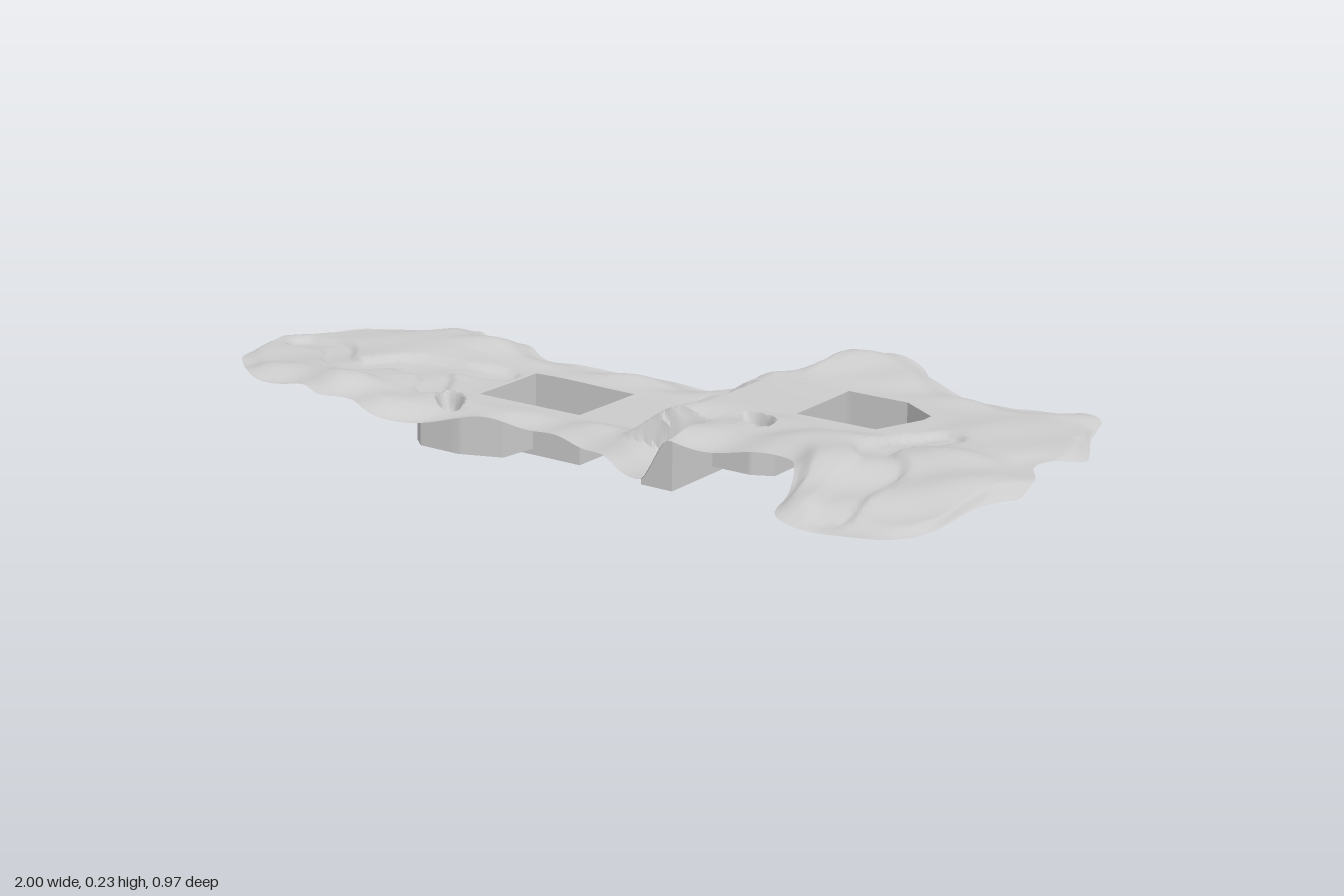
import * as THREE from 'three';
import { toCreasedNormals } from 'three/addons/utils/BufferGeometryUtils.js';

const material = new THREE.MeshStandardMaterial({ color: 0xcccccc, side: THREE.DoubleSide });
const { smoothstep, lerp } = THREE.MathUtils;

// Outline of the ground: back and front edge as z over x
const outline = points => new THREE.SplineCurve(points.map(p => new THREE.Vector2(...p))).getPoints(200);
const BACK = outline([[-1, -.2], [-.97, -.25], [-.87, -.34], [-.79, -.44], [-.68, -.45], [-.6, -.41], [-.5, -.41],
  [-.4, -.36], [-.3, -.345], [-.2, -.36], [-.12, -.395], [.05, -.4], [.12, -.42], [.23, -.48], [.45, -.48],
  [.53, -.41], [.6, -.38], [.72, -.35], [.8, -.365], [.93, -.32], [.95, -.24], [1, -.13]]);
const FRONT = outline([[-1, -.12], [-.97, 0], [-.9, .07], [-.8, .14], [-.68, .13], [-.6, .155], [-.53, .14],
  [-.43, .175], [-.3, .12], [-.2, .085], [-.05, .09], [.1, .135], [.2, .185], [.27, .215], [.34, .215], [.45, .21],
  [.58, .215], [.64, .28], [.68, .36], [.73, .475], [.88, .475], [.93, .42], [.95, .34], [.96, .25], [1, .15]]);
// Winding footpaths, pressed into the ground
const PATHS = [
  [[-.92, -.14], [-.82, -.14], [-.74, -.06], [-.67, -.04], [-.6, -.13], [-.46, -.16], [-.38, -.18]],
  [[-.56, -.1], [-.49, -.09], [-.44, -.02]],
  [[.75, -.05], [.71, 0], [.69, .09], [.76, .18], [.77, .3], [.8, .42]],
].map(p => new THREE.CatmullRomCurve3(p.map(([x, z]) => new THREE.Vector3(x, 0, z))).getPoints(40));
// Swells of the ground: x, z, radius, height
const SWELLS = [[-.66, -.3, .12, .019], [-.25, -.3, .1, .006], [.38, -.39, .1, .018], [.67, .17, .08, .012],
  [.88, .2, .1, .011]];

const PIT_Z = [-.225, -.035];
const PITS = [[-.32, -.06], [.45, .66]];

function edge(list, x) {
  for (let i = 1; i < list.length; i++) {
    const a = list[i - 1], b = list[i];
    if (x <= b.x) return lerp(a.y, b.y, (x - a.x) / (b.x - a.x));
  }
  return list[list.length - 1].y;
}

// Elongated dip, turned in plan: 1 inside, 0 outside
function dip(x, z, cx, cz, a, b, angle) {
  const c = Math.cos(angle), s = Math.sin(angle), dx = x - cx, dz = z - cz;
  return 1 - smoothstep(Math.hypot((dx * c + dz * s) / a, (dz * c - dx * s) / b), .6, 1.2);
}

// Height of the ground
function height(x, z) {
  // rise from the lower to the upper level: cliffs at back and front, mounds, stairs between
  const mound = smoothstep(x, .1, .27);
  let rise;
  if (z < -.19) rise = lerp(mound, smoothstep(x, .25, .338), smoothstep(-z, .24, .38));
  else if (z < -.065) rise = x < .15 ? 0 : Math.min(1, (Math.floor((x - .15) / .03 + 1e-4) + 1) / 5);
  else rise = lerp(mound, smoothstep(x, .265, .335), smoothstep(z, .07, .09));
  // rolling ground, level beside the pits and stairs, drooping at the rim
  const ends = Math.max(smoothstep(-x, .36, .5), smoothstep(x, .67, .8));
  const level = Math.max(smoothstep(Math.abs(z + .13), .1, .19), .4 * ends);
  const roll = .008 * Math.sin(9 * x + 5 * z + 1) + .006 * Math.sin(17 * x - 13 * z) + .004 * Math.sin(23 * z + 31 * x);
  const rim = Math.min(z - edge(BACK, x), edge(FRONT, x) - z);
  let y = .106 + .093 * rise + level * (roll + .008) - .016 * (1 - smoothstep(rim, 0, .08));
  for (const [cx, cz, r, h] of SWELLS) y += h * Math.exp(-((x - cx) ** 2 + (z - cz) ** 2) / (r * r)) * (cx < 0 ? 1 : rise);
  // paths
  let d = 1;
  for (const path of PATHS) for (const p of path) d = Math.min(d, Math.hypot(x - p.x, z - p.z));
  y -= .012 * (1 - smoothstep(d, .025, .045));
  // cave mouths
  y -= .045 * dip(x, z, -.35, .025, .06, .026, .75);
  y -= .04 * dip(x, z, .41, .04, .05, .024, .6);
  y -= .025 * dip(x, z, .24, .075, .08, .016, 0) * rise;
  return y;
}

function meshFrom(name, positions, index, crease) {
  const geometry = new THREE.BufferGeometry();
  geometry.setAttribute('position', new THREE.Float32BufferAttribute(positions, 3));
  geometry.setIndex(index);
  geometry.computeVertexNormals();
  const mesh = new THREE.Mesh(toCreasedNormals(geometry, crease), material);
  mesh.name = name;
  return mesh;
}

// Ground sheet: columns along x, rows in three bands so that pit edges stay straight
function ground() {
  const xs = [...PITS.flat(), .1499, .1501, .1799, .1801, .2099, .2101, .2399, .2401, .2699, .2701];
  for (let i = 0; i <= 200; i++) {
    const x = -1 + i / 100;
    if (!xs.some(s => Math.abs(s - x) < .003)) xs.push(x);
  }
  xs.sort((a, b) => a - b);
  const positions = [], index = [], R = 28, rows = 3 * R;
  xs.forEach(x => {
    const b = edge(BACK, x), f = edge(FRONT, x);
    const cuts = [b, Math.max(b, PIT_Z[0]), Math.min(f, PIT_Z[1]), f];
    for (let j = 0; j <= rows; j++) {
      const k = Math.min(2, Math.floor(j / R));
      const z = lerp(cuts[k], cuts[k + 1], j / R - k);
      const notch = .05 * smoothstep(x, .88, 1) * Math.exp(-(((z + .02) / .07) ** 2));
      positions.push(x - notch, height(x, z), z);
    }
  });
  for (let i = 0; i < xs.length - 1; i++) {
    const mid = (xs[i] + xs[i + 1]) / 2;
    const overPit = PITS.some(([a, b]) => mid > a && mid < b);
    for (let j = 0; j < rows; j++) {
      if (overPit && j >= R && j < 2 * R) continue;
      const a = i * (rows + 1) + j, d = a + rows + 1;
      index.push(a, a + 1, d + 1, a, d + 1, d);
    }
  }
  return meshFrom('ground', positions, index, .6);
}

// Open box below the ground: walls meet the ground above, flat floor below
function pocket(name, corners, floorY) {
  const group = new THREE.Group();
  group.name = name;
  const positions = [], index = [], N = 10;
  corners.forEach(([x0, z0], c) => {
    const [x1, z1] = corners[(c + 1) % corners.length];
    for (let i = 0; i <= N; i++) {
      const x = lerp(x0, x1, i / N), z = lerp(z0, z1, i / N), n = positions.length / 3;
      positions.push(x, Math.max(floorY, height(x, z)), z, x, floorY, z);
      if (i < N) index.push(n, n + 1, n + 3, n, n + 3, n + 2);
    }
  });
  group.add(meshFrom(name + 'Walls', positions, index, .5));
  const floor = new THREE.Mesh(new THREE.ShapeGeometry(
    new THREE.Shape(corners.map(([x, z]) => new THREE.Vector2(x, -z)))), material);
  floor.rotation.x = -Math.PI / 2;
  floor.position.y = floorY;
  floor.name = name + 'Floor';
  group.add(floor);
  return group;
}

// Flat triangle that fills a cut corner of the upper pit
function cornerPatch(name, points) {
  return meshFrom(name, points.flatMap(([x, z]) => [x, height(x, z), z]), [0, 1, 2], .5);
}

export function createModel() {
  const model = new THREE.Group();
  model.name = 'terrain';
  const [b, f] = PIT_Z;
  model.add(
    ground(),
    pocket('lowerPit', [[-.32, b], [-.06, b], [-.06, f], [-.32, f]], 0),
    // the upper pit runs on under the ground, towards the cliff
    pocket('upperPit', [[.345, -.2], [.45, b], [.58, b], [.66, -.17], [.66, -.14], [.62, f], [.345, f]], .105),
    cornerPatch('pitCornerBack', [[.58, b], [.66, -.17], [.66, b]]),
    cornerPatch('pitCornerFront', [[.66, -.14], [.62, f], [.66, f]]),
    // caves beside the pits
    pocket('lowerCave', [[-.41, -.02], [-.38, f], [-.18, f], [-.19, .05], [-.28, .085], [-.38, .085], [-.41, .06]], .013),
    pocket('upperCave', [[.345, f], [.47, f], [.47, .07], [.43, .09], [.345, .09]], .107),
    // undersides of the mounds, ending in the cliff wall
    pocket('backCliff', [[.24, -.478], [.34, -.478], [.34, -.2], [.2, -.2], [.2, -.3]], .088),
    pocket('frontCliff', [[.26, .05], [.34, .05], [.34, .214], [.27, .214]], .09),
  );
  return model;
}
